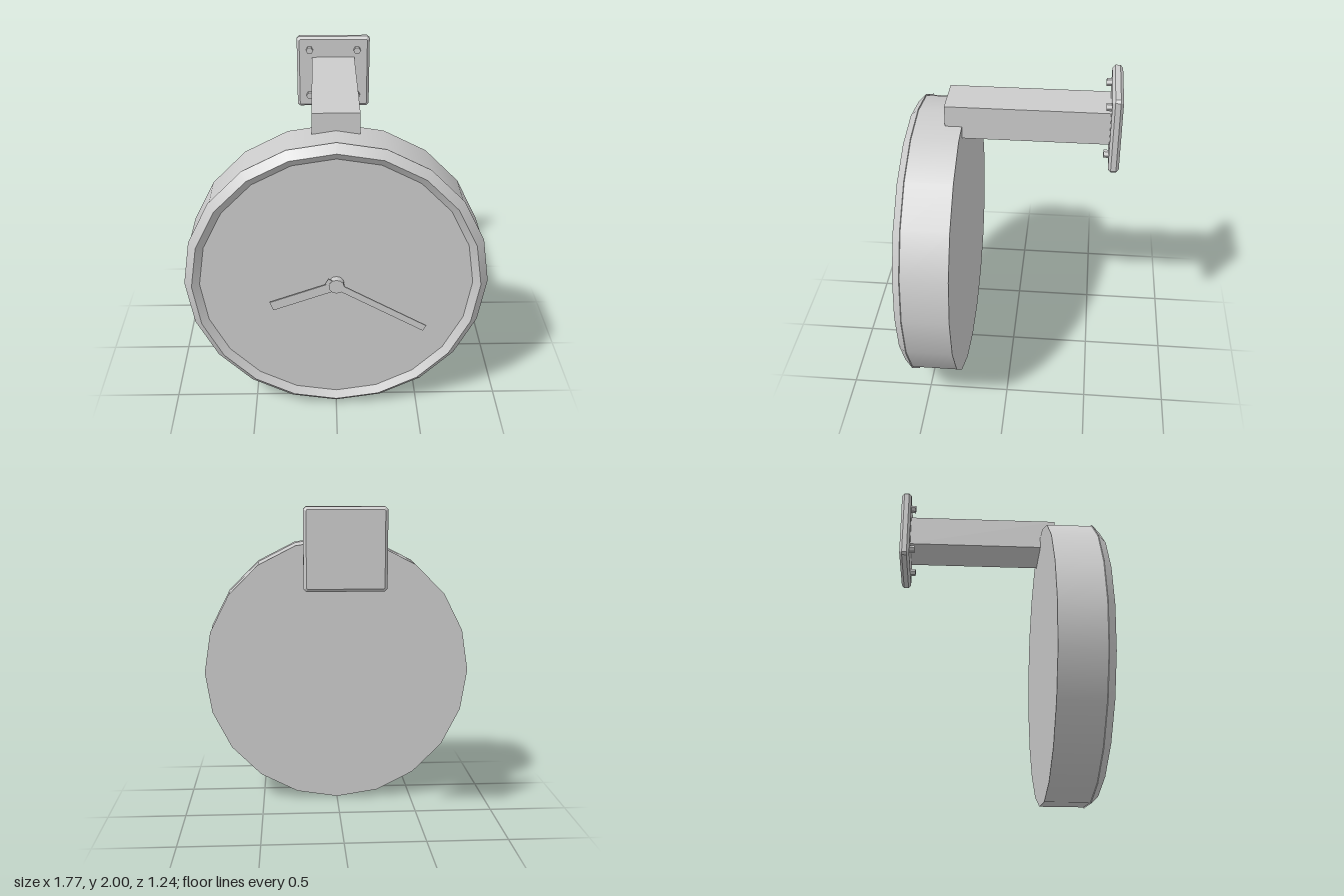
import * as THREE from 'three';

const grey = new THREE.MeshStandardMaterial({ color: 0xcccccc });
grey.name = 'light grey';

const CENTRE_Y = 0.887;
const SIDES = 20;

function add(parent, name, geometry, x = 0, y = 0, z = 0) {
  const mesh = new THREE.Mesh(geometry, grey);
  mesh.name = name;
  mesh.position.set(x, y, z);
  parent.add(mesh);
  return mesh;
}

// One conical band or disc of the clock, from [radius, z] to [radius, z]
function band(from, to) {
  const points = [from, to].map(([r, z]) => new THREE.Vector2(r, z));
  return new THREE.LatheGeometry(points, SIDES).rotateX(Math.PI / 2);
}

// Flat bar starting behind the pivot and pointing along +x, then turned
function hand(tail, length, width, angle) {
  return new THREE.BoxGeometry(tail + length, width, 0.008)
    .translate((length - tail) / 2, 0, 0)
    .rotateZ(angle);
}

// Square plate with cut corners and bevelled edges
function plateGeometry(w, h, depth, bevel, cut) {
  const a = w / 2 - bevel, b = h / 2 - bevel;
  const shape = new THREE.Shape([
    [a - cut, -b], [a, -b + cut], [a, b - cut], [a - cut, b],
    [-a + cut, b], [-a, b - cut], [-a, -b + cut], [-a + cut, -b],
  ].map(([x, y]) => new THREE.Vector2(x, y)));
  return new THREE.ExtrudeGeometry(shape, {
    depth: depth - 2 * bevel, bevelEnabled: true, bevelSegments: 1,
    bevelSize: bevel, bevelThickness: bevel,
  }).translate(0, 0, -depth / 2 + bevel);
}

export function createModel() {
  const model = new THREE.Group();
  model.name = 'wallBracketClock';

  // Clock case: back, rim, raised bezel and recessed dial
  const clock = new THREE.Group();
  clock.name = 'clock';
  clock.position.y = CENTRE_Y;
  model.add(clock);
  add(clock, 'caseBack', band([0, 0.287], [0.877, 0.287]));
  add(clock, 'caseRim', band([0.877, 0.287], [0.877, 0.56]));
  add(clock, 'bezelLip', band([0.877, 0.56], [0.885, 0.562]));
  add(clock, 'bezelOuter', band([0.885, 0.562], [0.838, 0.609]));
  add(clock, 'bezelInner', band([0.838, 0.609], [0.795, 0.578]));
  add(clock, 'dial', band([0.795, 0.578], [0, 0.578]));

  // Hands and their hub
  add(clock, 'hourHand', hand(0, 0.405, 0.058, Math.PI + 0.35), 0, 0, 0.606);
  add(clock, 'minuteHand', hand(0.066, 0.605, 0.04, -Math.PI / 6), 0, 0, 0.611);
  add(clock, 'hub', new THREE.CylinderGeometry(0.045, 0.045, 0.042, 12).rotateX(Math.PI / 2), 0, 0, 0.599);

  // Arm, wall plate and bolts
  const bracket = new THREE.Group();
  bracket.name = 'bracket';
  model.add(bracket);
  add(bracket, 'arm', new THREE.BoxGeometry(0.27, 0.2, 0.96), 0, 1.768, -0.095);
  add(bracket, 'wallPlate', plateGeometry(0.466, 0.466, 0.062, 0.016, 0.006), 0, 1.767, -0.591);
  for (const x of [-0.152, 0.152]) {
    for (const y of [1.617, 1.919]) {
      const bolt = new THREE.CylinderGeometry(0.023, 0.023, 0.034, 6).toNonIndexed();
      bolt.computeVertexNormals();
      bolt.rotateY(Math.PI / 6).rotateX(Math.PI / 2);
      add(bracket, 'bolt', bolt, x, y, -0.547);
    }
  }
  return model;
}
